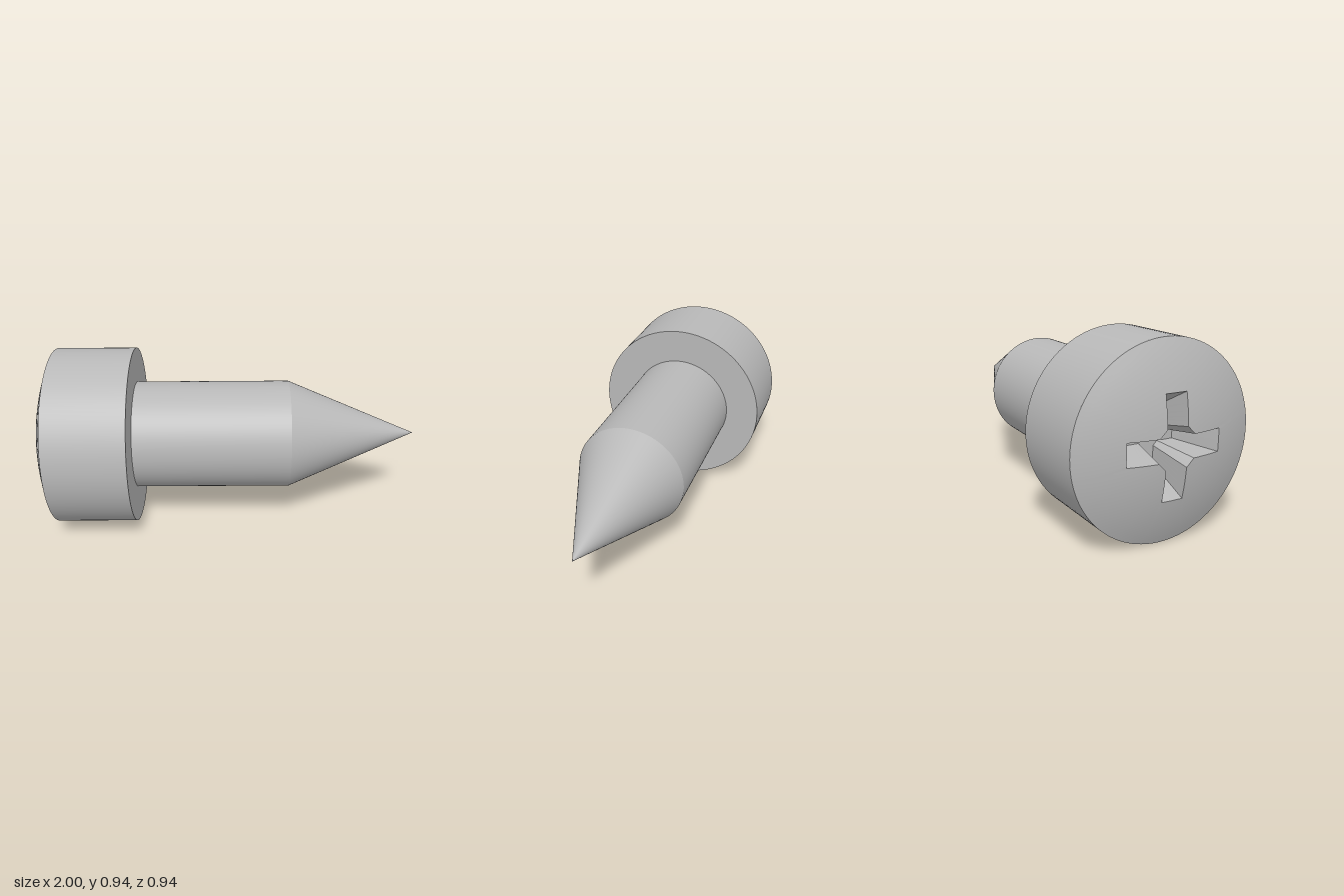
import * as THREE from 'three';

const HEAD_R = 0.466, SHAFT_R = 0.284, SIDES = 128;
const HEAD_FRONT = -0.902, HEAD_BACK = -0.485, SHAFT_END = 0.325, TIP = 1;
const DOME_R = 1.13;                                 // sphere radius of the domed face
const ARM = 0.24, HALF_W = 0.054, WEB = 0.145;       // cross-recess outline

const domeY = (r) => -1 + DOME_R - Math.sqrt(DOME_R * DOME_R - r * r);

// Radius of the cross outline (with chamfered inner corners) at an angle
function crossRadius(t) {
  const q = Math.PI / 2;
  const a = Math.abs(t - Math.round(t / q) * q);
  const c = Math.cos(a), s = Math.sin(a);
  return Math.max(Math.min(ARM / c, HALF_W / Math.max(s, 1e-6)), WEB / (c + s));
}

// Angles that include every corner of the cross outline
function crossAngles() {
  const end = Math.atan2(HALF_W, ARM), inner = Math.atan2(HALF_W, WEB - HALF_W);
  const stops = [0, end, inner, Math.PI / 2 - inner, Math.PI / 2 - end, Math.PI / 2];
  const out = [];
  for (let k = 0; k < 4; k++)
    for (let i = 0; i < 5; i++)
      for (let j = 0; j < 6; j++)
        out.push(k * Math.PI / 2 + stops[i] + (stops[i + 1] - stops[i]) * j / 6);
  return out;
}

// Joins rings, from the inside out; each ring maps an angle to [radius, y]
function loft(rings) {
  const angles = crossAngles(), n = angles.length, pos = [], idx = [];
  for (const ring of rings)
    for (const t of angles) {
      const [r, y] = ring(t);
      pos.push(r * Math.cos(t), y, r * Math.sin(t));
    }
  for (let i = 0; i < rings.length - 1; i++)
    for (let j = 0; j < n; j++) {
      const k = (j + 1) % n, a = i * n + j, b = a + n, c = i * n + k, d = c + n;
      idx.push(a, b, c, c, b, d);
    }
  const g = new THREE.BufferGeometry();
  g.setAttribute('position', new THREE.Float32BufferAttribute(pos, 3));
  g.setIndex(idx);
  return g;
}

export function createModel() {
  const steel = new THREE.MeshStandardMaterial({ color: 0xb8b8b8 });
  steel.name = 'steel';
  const screw = new THREE.Group();
  screw.name = 'screw';
  const add = (name, geometry, y = 0) => {
    const m = new THREE.Mesh(geometry, steel);
    m.name = name;
    m.position.y = y;
    screw.add(m);
    return m;
  };
  const tube = (top, bottom, y0, y1) =>
    [new THREE.CylinderGeometry(top, bottom, y1 - y0, SIDES, 1, true), (y0 + y1) / 2];

  // Domed face around the cross-shaped opening
  const domeRings = [];
  for (let i = 0; i <= 8; i++)
    domeRings.push((t) => {
      const r = THREE.MathUtils.lerp(crossRadius(t), HEAD_R, i / 8);
      return [r, domeY(r)];
    });
  const dome = loft(domeRings);
  dome.computeVertexNormals();
  add('headDome', dome);

  // Tapered cross recess with a flat floor
  const floorY = -0.78;
  const recess = loft([
    () => [0, floorY],
    (t) => [crossRadius(t) * 0.55, floorY],
    (t) => [crossRadius(t), domeY(crossRadius(t))],
  ]).toNonIndexed();
  recess.computeVertexNormals();
  add('crossRecess', recess);

  // Head rim and underside
  add('headRim', ...tube(HEAD_R, HEAD_R, HEAD_FRONT, HEAD_BACK));
  const under = new THREE.RingGeometry(SHAFT_R, HEAD_R, SIDES);
  under.rotateX(-Math.PI / 2);
  add('headUnderside', under, HEAD_BACK);

  // Shaft and pointed tip
  add('shaft', ...tube(SHAFT_R, SHAFT_R, HEAD_BACK, SHAFT_END));
  add('tip', ...tube(0, SHAFT_R, SHAFT_END, TIP));

  // Lay the screw along x, with its very slight tilt
  screw.rotation.set(0, -0.0085, -Math.PI / 2 + 0.0085);
  screw.position.set(0, 0.476, 0.003);

  const model = new THREE.Group();
  model.name = 'pointedScrew';
  model.add(screw);
  return model;
}
